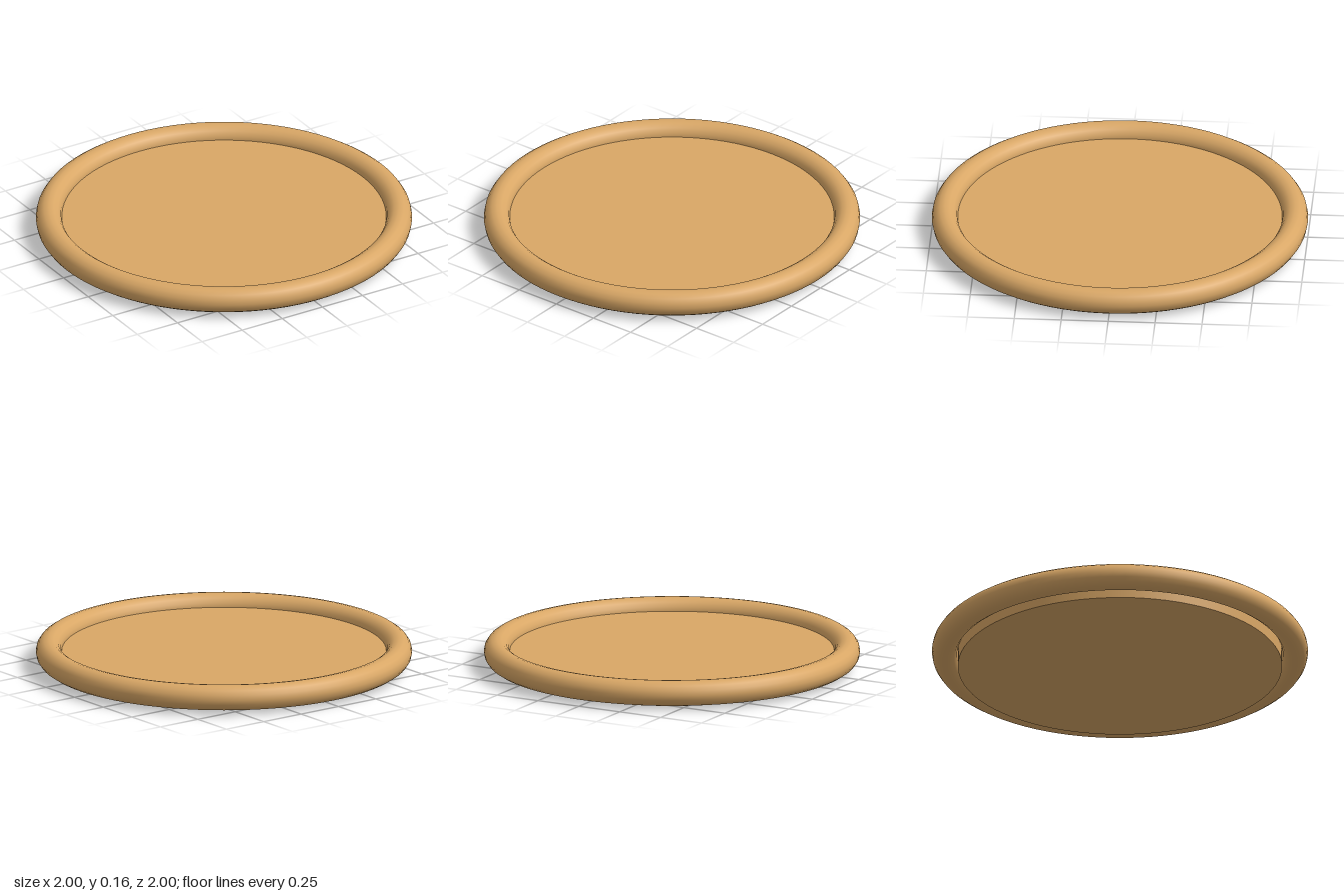
import * as THREE from 'three';

export function createModel() {
  const group = new THREE.Group();
  const wood = new THREE.MeshStandardMaterial({ color: 0xd9a766 });

  // Rounded ring around the edge
  const rim = new THREE.Mesh(new THREE.TorusGeometry(0.931, 0.069, 16, 96), wood);
  rim.name = 'rim';
  rim.rotation.x = -Math.PI / 2;
  rim.position.y = 0.088;

  // Flat disc that fills the ring and pokes out slightly below it
  const thickness = 0.092;
  const base = new THREE.Mesh(new THREE.CylinderGeometry(0.862, 0.862, thickness, 96), wood);
  base.name = 'base';
  base.position.y = thickness / 2;

  group.add(rim, base);
  return group;
}
